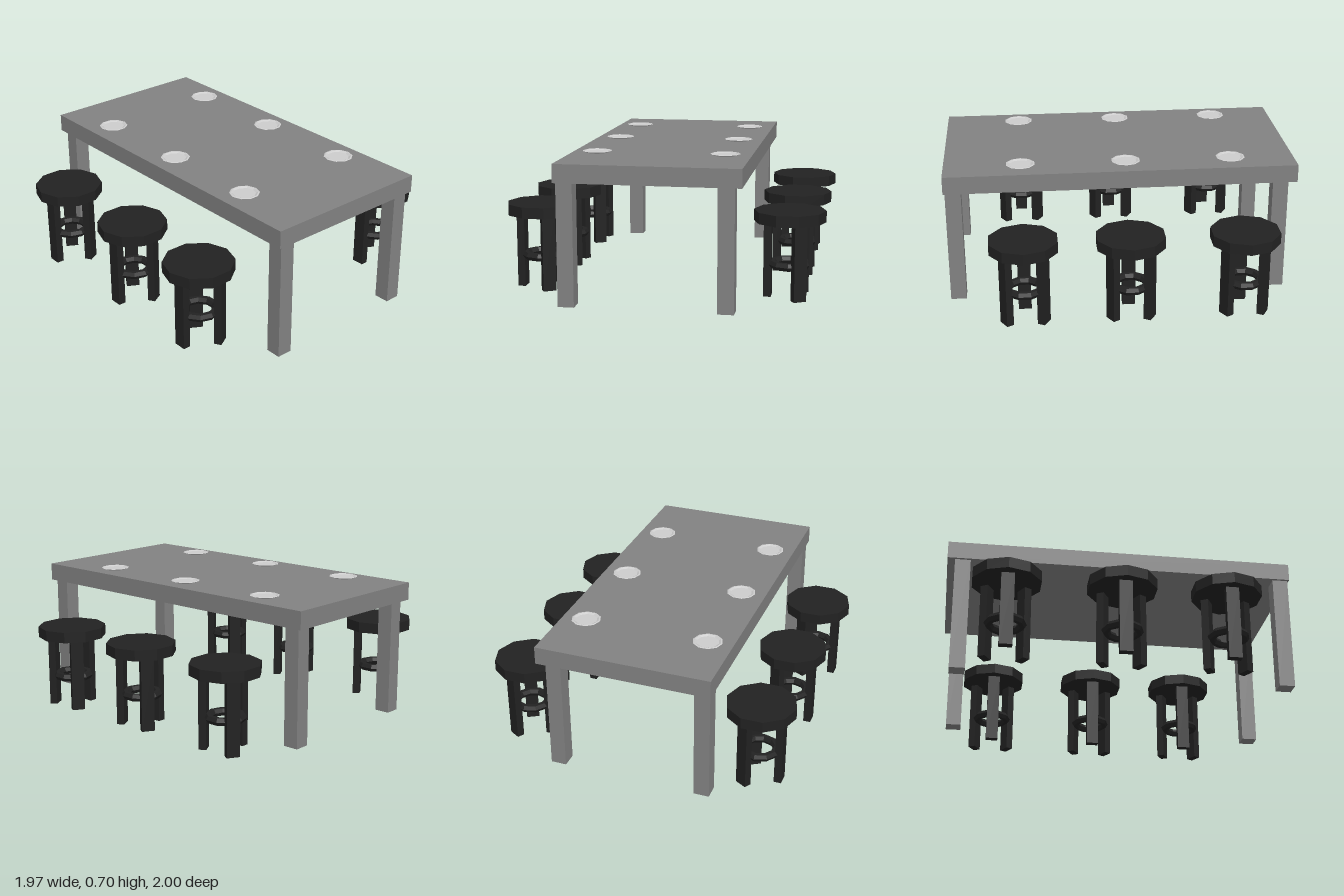
import * as THREE from 'three';

const tableGrey = new THREE.MeshStandardMaterial({ color: 0x828282 });
tableGrey.name = 'tableGrey';
const stoolBlack = new THREE.MeshStandardMaterial({ color: 0x222222 });
stoolBlack.name = 'stoolBlack';
const plateWhite = new THREE.MeshStandardMaterial({ color: 0xcccccc });
plateWhite.name = 'plateWhite';

// faceted normals for the low-poly look
function faceted(geometry) {
  const g = geometry.index ? geometry.toNonIndexed() : geometry;
  g.computeVertexNormals();
  return g;
}

function addMesh(parent, name, geometry, material, x, y, z) {
  const mesh = new THREE.Mesh(geometry, material);
  mesh.name = name;
  mesh.position.set(x, y, z);
  parent.add(mesh);
  return mesh;
}

// ten-sided seat, three legs turned towards the centre, and a foot ring
function makeStool() {
  const stool = new THREE.Group();
  stool.name = 'stool';
  addMesh(stool, 'seat', faceted(new THREE.CylinderGeometry(0.175, 0.175, 0.055, 10)), stoolBlack, 0, 0.4025, 0);
  const legGeometry = new THREE.BoxGeometry(0.065, 0.38, 0.038);
  for (let i = 0; i < 3; i++) {
    const pivot = new THREE.Group();
    pivot.name = 'stoolLegPivot';
    pivot.rotation.y = (i * Math.PI * 2) / 3;
    addMesh(pivot, 'stoolLeg', legGeometry, stoolBlack, 0, 0.19, 0.105);
    stool.add(pivot);
  }
  const ring = new THREE.TorusGeometry(0.083, 0.021, 6, 10);
  ring.rotateX(Math.PI / 2);
  addMesh(stool, 'footRing', faceted(ring), stoolBlack, 0, 0.163, 0);
  return stool;
}

// shallow dish with a raised rim
function makePlateGeometry() {
  const profile = [[0, 0], [0.05, 0], [0.074, 0.009], [0.066, 0.011], [0.055, 0.005], [0, 0.005]];
  return faceted(new THREE.LatheGeometry(profile.map(([r, y]) => new THREE.Vector2(r, y)), 10));
}

export function createModel() {
  const model = new THREE.Group();
  model.name = 'diningSet';

  // the whole set stands diagonally
  const set = new THREE.Group();
  set.name = 'tableAndStools';
  set.position.set(0.015, 0, 0.035);
  set.rotation.y = -0.673;
  model.add(set);

  // table
  addMesh(set, 'tableTop', new THREE.BoxGeometry(1.765, 0.09, 0.886), tableGrey, 0, 0.64, 0);
  const legGeometry = new THREE.BoxGeometry(0.079, 0.6, 0.079);
  for (const x of [-0.805, 0.836])
    for (const z of [-0.37, 0.39])
      addMesh(set, 'tableLeg', legGeometry, tableGrey, x, 0.3, z);

  // three places along each long side
  const plateGeometry = makePlateGeometry();
  for (const z of [-0.316, 0.318])
    for (const x of [-0.559, -0.028, 0.499])
      addMesh(set, 'plate', plateGeometry, plateWhite, x, 0.6855, z);

  for (const z of [-0.633, 0.605])
    for (const x of [-0.589, -0.023, 0.5]) {
      const stool = makeStool();
      stool.position.set(x, 0, z);
      set.add(stool);
    }

  return model;
}
